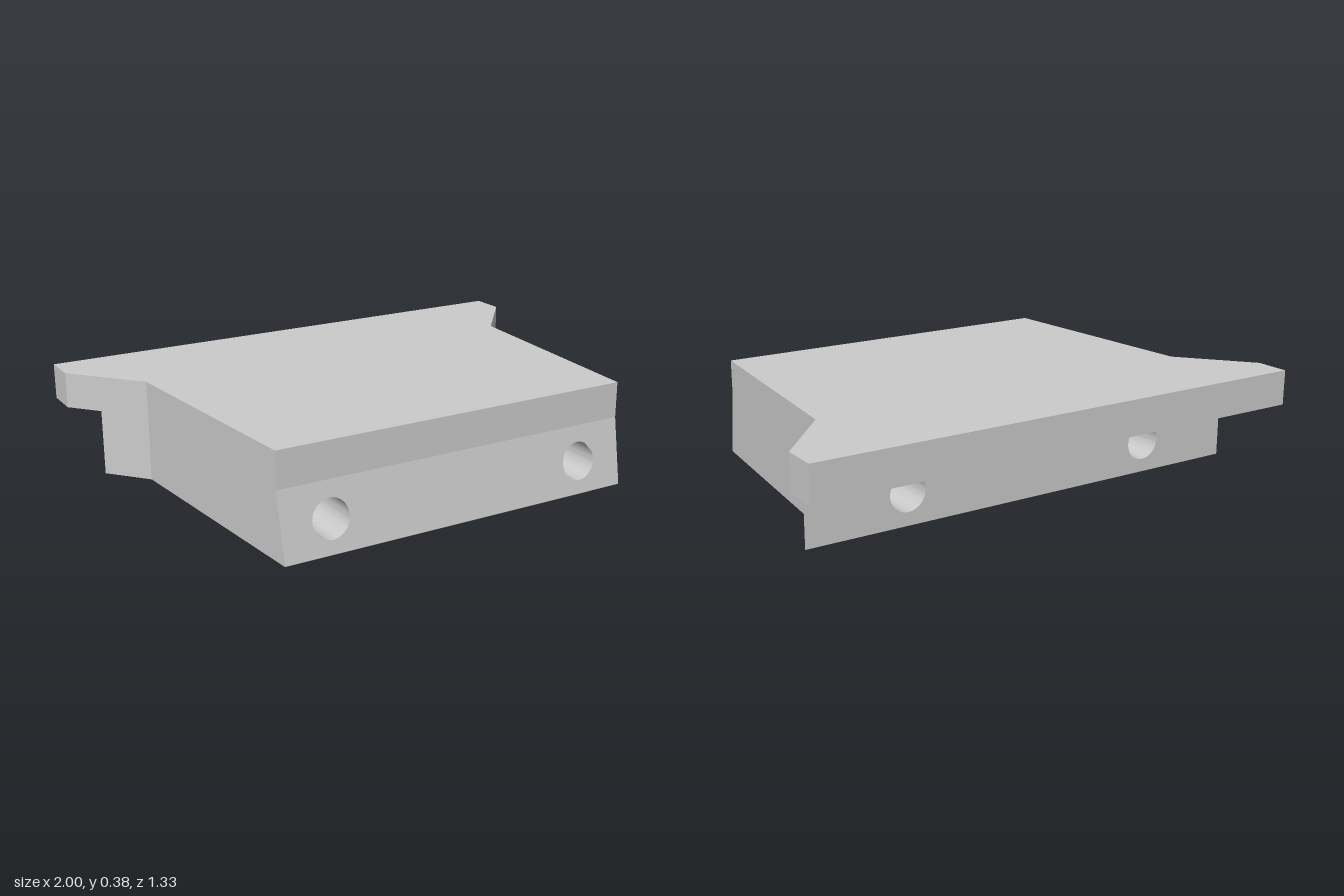
import * as THREE from 'three';
import { toCreasedNormals } from 'three/addons/utils/BufferGeometryUtils.js';

const LEDGE_Y = 0.25, TOP_Y = 0.385;
const LEDGE_Z = -0.42, WAIST_Z = -0.27;
const CREASE = 0.4;

// Half width of the plan outline at depth z
function halfWidth(z) {
  if (z > WAIST_Z) return THREE.MathUtils.mapLinear(z, WAIST_Z, 0.665, 0.78, 0.7);
  return Math.min(1, THREE.MathUtils.mapLinear(z, -0.53, WAIST_Z, 1, 0.78));
}

// Front face leans back from the base up to the ledge height
const frontZ = (y) => 0.665 - (0.045 * y) / LEDGE_Y;

// Lower block: a drilled rectangle extruded front to back, then fitted to the outline
function lowerBlock() {
  const shape = new THREE.Shape([
    new THREE.Vector2(-0.9, 0), new THREE.Vector2(0.9, 0),
    new THREE.Vector2(0.9, LEDGE_Y), new THREE.Vector2(-0.9, LEDGE_Y),
  ]);
  for (const side of [-1, 1]) {
    shape.holes.push(new THREE.Path().absarc(0.517 * side, 0.12, 0.07, 0, Math.PI * 2, true));
  }
  const geo = new THREE.ExtrudeGeometry(shape, { depth: 2, steps: 2, bevelEnabled: false, curveSegments: 24 });
  const pos = geo.attributes.position;
  for (let i = 0; i < pos.count; i++) {
    const x = pos.getX(i), y = pos.getY(i), layer = Math.round(pos.getZ(i));
    const z = [LEDGE_Z, WAIST_Z, frontZ(y)][layer];
    pos.setZ(i, z);
    if (Math.abs(x) > 0.8) pos.setX(i, Math.sign(x) * halfWidth(z));
  }
  return toCreasedNormals(geo, CREASE);
}

// Top slab: the full plan outline, overhanging the block at the back
function topSlab() {
  const zs = [-0.665, -0.53, WAIST_Z, frontZ(LEDGE_Y)];
  const right = zs.map((z) => new THREE.Vector2(halfWidth(z), -z));
  const left = zs.map((z) => new THREE.Vector2(-halfWidth(z), -z)).reverse();
  const geo = new THREE.ExtrudeGeometry(new THREE.Shape([...right, ...left]), {
    depth: TOP_Y - LEDGE_Y, bevelEnabled: false,
  });
  geo.rotateX(-Math.PI / 2).translate(0, LEDGE_Y, 0);
  return toCreasedNormals(geo, CREASE);
}

export function createModel() {
  const group = new THREE.Group();
  group.name = 'bracket';
  const material = new THREE.MeshStandardMaterial({ color: 0xcccccc });
  for (const [name, geo] of [['lowerBlock', lowerBlock()], ['topSlab', topSlab()]]) {
    const mesh = new THREE.Mesh(geo, material);
    mesh.name = name;
    group.add(mesh);
  }
  return group;
}
